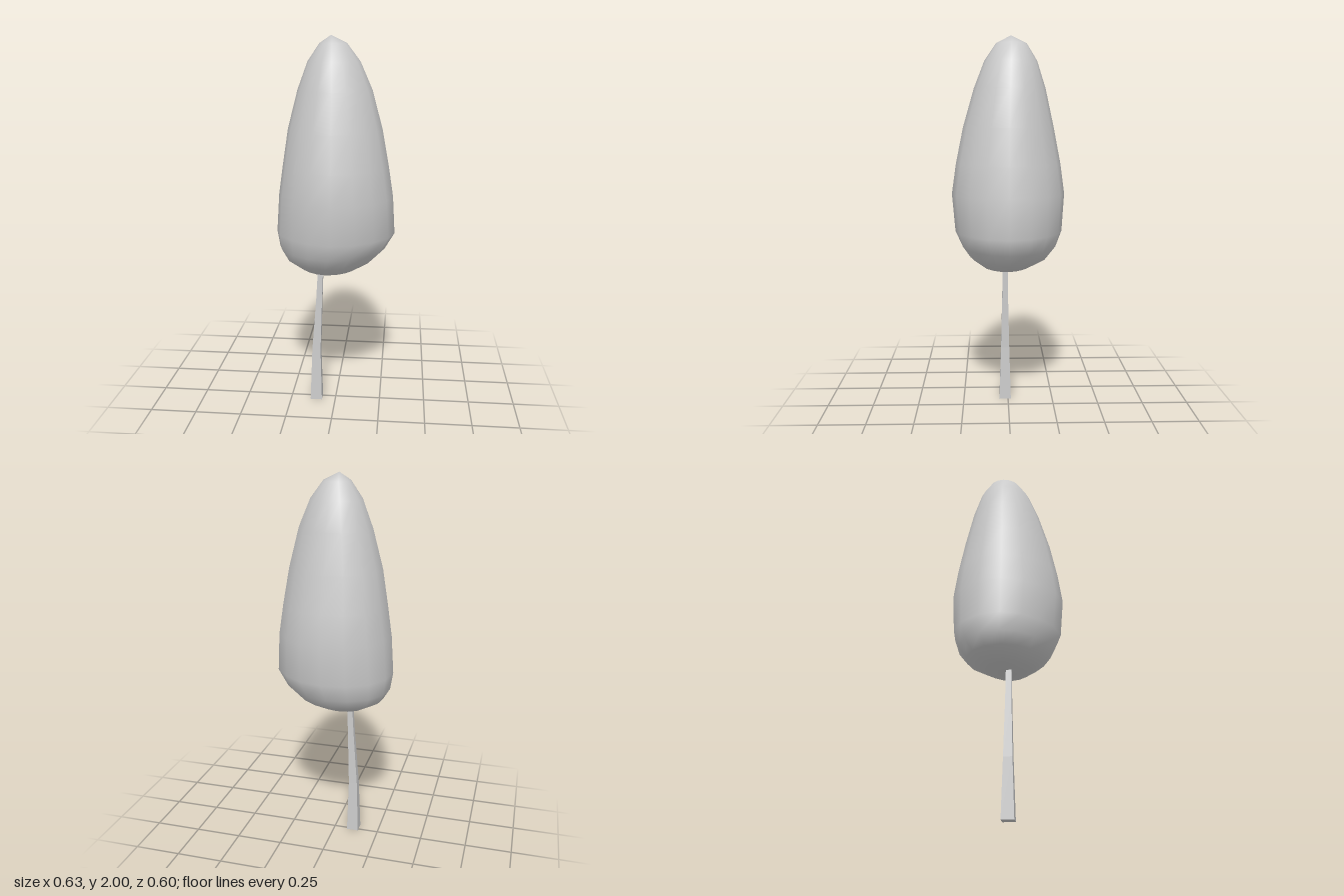
import * as THREE from 'three';

// Closed skin over rings of points (listed bottom to top), capped at two poles
function skin(rings, bottom, top) {
  const n = rings[0].length, index = [];
  const points = [...rings.flat(), bottom, top];
  const low = n * rings.length, high = low + 1, last = n * (rings.length - 1);
  for (let i = 0; i < n; i++) {
    const k = (i + 1) % n;
    index.push(low, i, k, high, last + k, last + i);
    for (let r = 0; r < last; r += n) {
      index.push(r + i, r + n + i, r + k, r + k, r + n + i, r + n + k);
    }
  }
  const geometry = new THREE.BufferGeometry();
  geometry.setAttribute('position', new THREE.Float32BufferAttribute(points.flat(), 3));
  geometry.setIndex(index);
  geometry.computeVertexNormals();
  return geometry;
}

function makeCrown() {
  // Each row: height, left and right limits in x, back and front limits in z
  const sections = [
    [0.775, -0.18, 0.10, -0.11, 0.13],
    [0.83, -0.267, 0.20, -0.21, 0.205],
    [0.89, -0.303, 0.262, -0.255, 0.245],
    [0.98, -0.317, 0.314, -0.285, 0.283],
    [1.18, -0.303, 0.302, -0.297, 0.30],
    [1.34, -0.28, 0.277, -0.275, 0.277],
    [1.53, -0.25, 0.242, -0.238, 0.238],
    [1.73, -0.198, 0.187, -0.194, 0.18],
    [1.87, -0.146, 0.125, -0.15, 0.125],
    [1.96, -0.085, 0.056, -0.095, 0.064],
  ];
  // Uneven bulge of the four diagonal corners
  const bulge = [-0.05, -0.06, 0.04, -0.05];
  const sides = 16;
  const rings = sections.map(([y, x0, x1, z0, z1]) =>
    Array.from({ length: sides }, (_, i) => {
      const a = (i / sides) * Math.PI * 2;
      const f = 1 + bulge[Math.floor(i / 4)] * Math.sin(2 * a) ** 2;
      return [
        (x0 + x1) / 2 + ((x1 - x0) / 2) * f * Math.cos(a),
        y,
        (z0 + z1) / 2 + ((z1 - z0) / 2) * f * Math.sin(a),
      ];
    }));
  return skin(rings, [-0.04, 0.75, 0.01], [-0.025, 2, -0.015]);
}

function makeTrunk() {
  // Each row: height, centre in x, half width of the square section
  const sections = [[0, -0.107, 0.032], [0.3, -0.105, 0.023], [0.6, -0.089, 0.016], [0.85, -0.077, 0.013]];
  const z = 0.016;
  const corners = [[1, -1], [1, 1], [-1, 1], [-1, -1]];
  const rings = sections.map(([y, x, h]) => corners.map(([sx, sz]) => [x + sx * h, y, z + sz * h]));
  return skin(rings, [-0.107, 0, z], [-0.077, 0.85, z]);
}

export function createModel() {
  const group = new THREE.Group();
  group.name = 'tree';

  const crown = new THREE.Mesh(makeCrown(), new THREE.MeshStandardMaterial({ color: 0xcccccc }));
  crown.name = 'crown';

  const trunk = new THREE.Mesh(makeTrunk(), new THREE.MeshStandardMaterial({ color: 0xcccccc, flatShading: true }));
  trunk.name = 'trunk';

  group.add(crown, trunk);
  return group;
}
